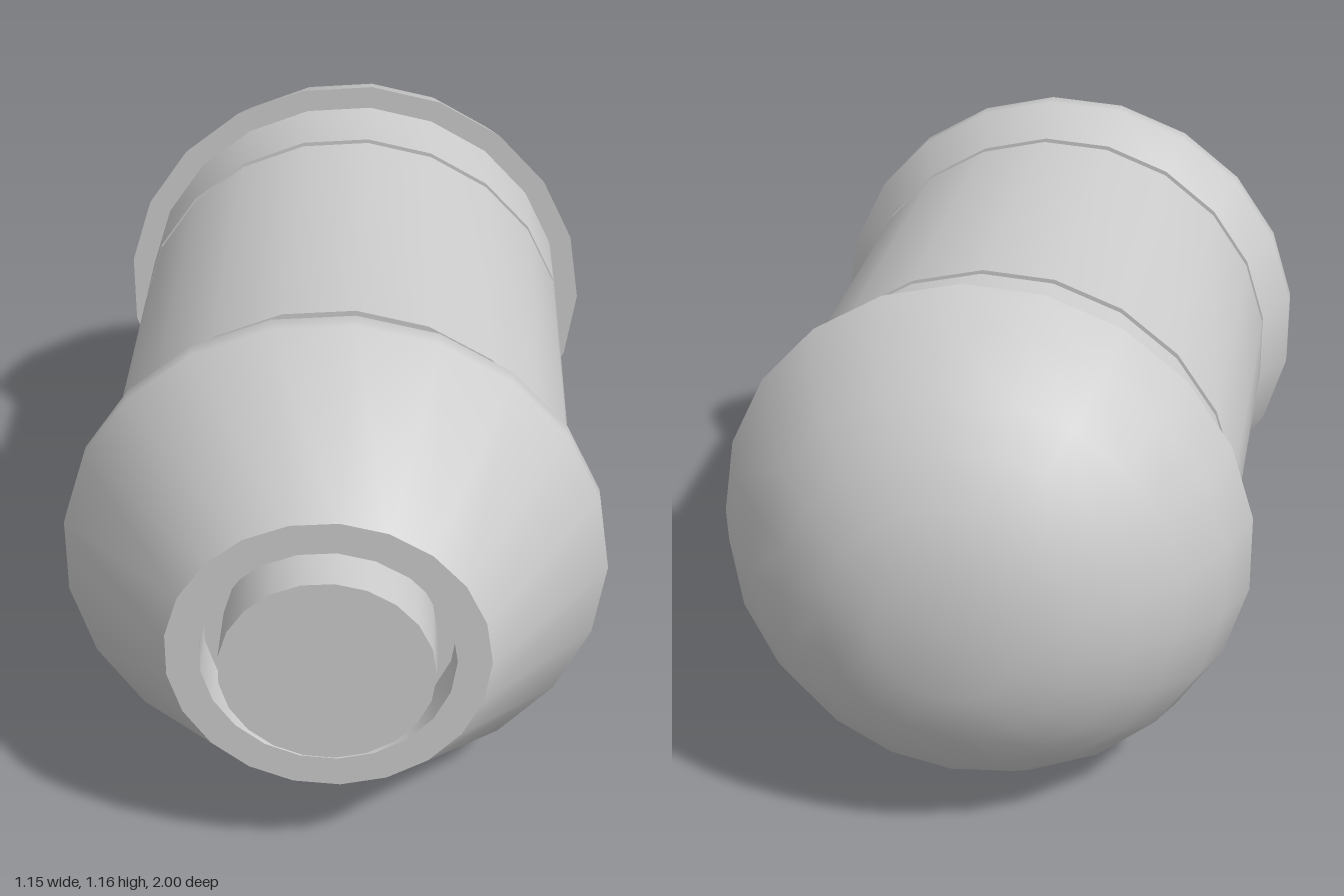
import * as THREE from 'three';
import { toCreasedNormals } from 'three/addons/utils/BufferGeometryUtils.js';

const SIDES = 21;
const material = new THREE.MeshStandardMaterial({ color: 0xcccccc });

// Solid of revolution about z; profile is [radius, z] from back to front.
function turned(name, profile) {
  const points = profile.map(([r, z]) => new THREE.Vector2(r, z));
  const lathe = new THREE.LatheGeometry(points, SIDES, Math.PI / 2);
  lathe.rotateX(Math.PI / 2);
  const mesh = new THREE.Mesh(toCreasedNormals(lathe, THREE.MathUtils.degToRad(40)), material);
  mesh.name = name;
  return mesh;
}

// Plain capped drum between two z positions.
const drum = (name, r, back, front) =>
  turned(name, [[0, back], [r, back], [r, front], [0, front]]);

export function createModel() {
  const group = new THREE.Group();
  group.name = 'capsule';

  group.add(
    // Rounded end cap, overhanging the rear collar
    turned('rearDome', [
      [0, -1], [0.145, -1], [0.262, -0.96], [0.365, -0.895],
      [0.448, -0.815], [0.53, -0.695], [0.575, -0.57], [0, -0.57],
    ]),
    drum('rearCollar', 0.52, -0.57, -0.385),
    drum('rearGroove', 0.375, -0.385, -0.365),
    drum('body', 0.52, -0.365, 0.455),
    drum('frontGroove', 0.375, 0.455, 0.48),
    // Tapered nose with a round recess in its face
    turned('nose', [
      [0, 0.48], [0.52, 0.48], [0.58, 0.582], [0.58, 0.622],
      [0.33, 0.955], [0.26, 0.955], [0.26, 0.855], [0, 0.855],
    ]),
    drum('nozzlePlug', 0.219, 0.855, 1),
  );

  group.children.forEach((part) => part.position.set(-0.003, 0.58, 0));
  return group;
}
